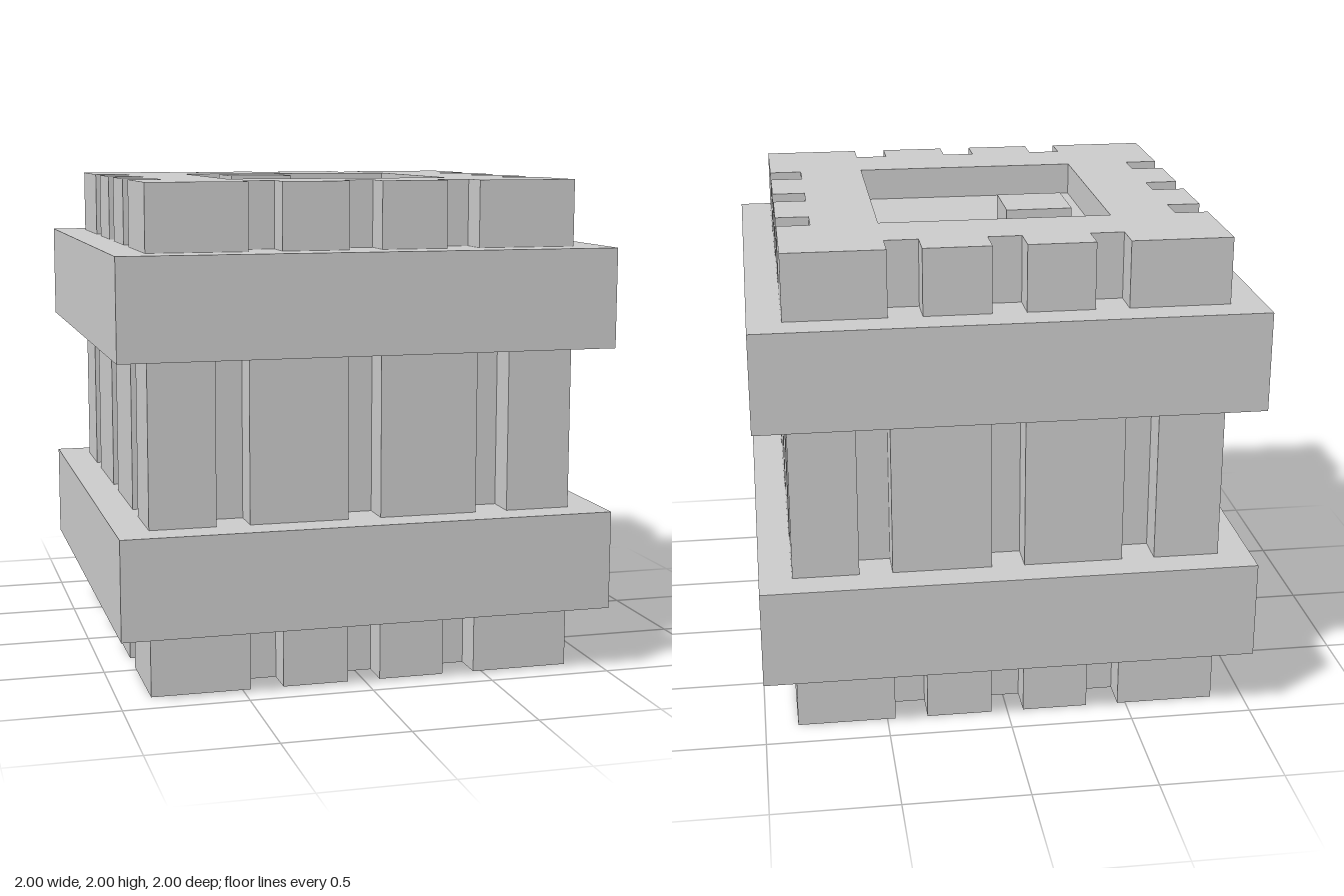
import * as THREE from 'three';

const U = 1 / 15; // modelling unit: the whole block is 30 units tall and wide
const material = new THREE.MeshStandardMaterial({ color: 0xcccccc, flatShading: true });

// Square outline whose four sides are notched by grooves ([start, end] along each side)
function groovedSquare(half, depth, grooves) {
  const side = [[-half, -half]];
  for (const [a, b] of grooves) {
    side.push([a, -half], [a, -half + depth], [b, -half + depth], [b, -half]);
  }
  const points = [];
  for (let i = 0; i < 4; i++) {
    const c = [1, 0, -1, 0][i], s = [0, 1, 0, -1][i];
    for (const [x, y] of side) points.push(new THREE.Vector2((x * c - y * s) * U, (x * s + y * c) * U));
  }
  return new THREE.Shape(points);
}

export function createModel() {
  const group = new THREE.Group();

  function add(name, geometry, x, y, z) {
    const mesh = new THREE.Mesh(geometry, material);
    mesh.name = name;
    mesh.position.set(x * U, y * U, z * U);
    group.add(mesh);
  }

  // Box standing on height y0
  const box = (name, width, y0, y1, x = 0, z = 0) =>
    add(name, new THREE.BoxGeometry(width * U, (y1 - y0) * U, width * U), x, (y0 + y1) / 2, z);

  // Upright prism of an outline
  function prism(name, shape, y0, y1) {
    const geometry = new THREE.ExtrudeGeometry(shape, { depth: (y1 - y0) * U, bevelEnabled: false });
    geometry.rotateX(-Math.PI / 2);
    add(name, geometry, 0, y0, 0);
  }

  const endGrooves = [[-7, -5], [-1, 1], [5, 7]];
  const wallGrooves = [[-9, -7], [-1, 1], [7, 9]];

  // Grooved base, walls and the two wide bands
  prism('base', groovedSquare(13, 2, endGrooves), 0, 4);
  box('lowerBand', 30, 4, 10);
  prism('plankWalls', groovedSquare(13, 2, wallGrooves), 10, 20);
  box('upperBand', 30, 20, 26);

  // Lid with a square recess
  const lid = groovedSquare(13, 2, endGrooves);
  const r = 7 * U;
  lid.holes.push(new THREE.Path([
    new THREE.Vector2(-r, -r), new THREE.Vector2(-r, r),
    new THREE.Vector2(r, r), new THREE.Vector2(r, -r),
  ]));
  prism('lid', lid, 26, 30);
  box('recessFloor', 14, 26, 28);

  // Small off-centre knob, flush with the lid
  box('knob', 4, 28, 30, -3, -3);

  return group;
}
